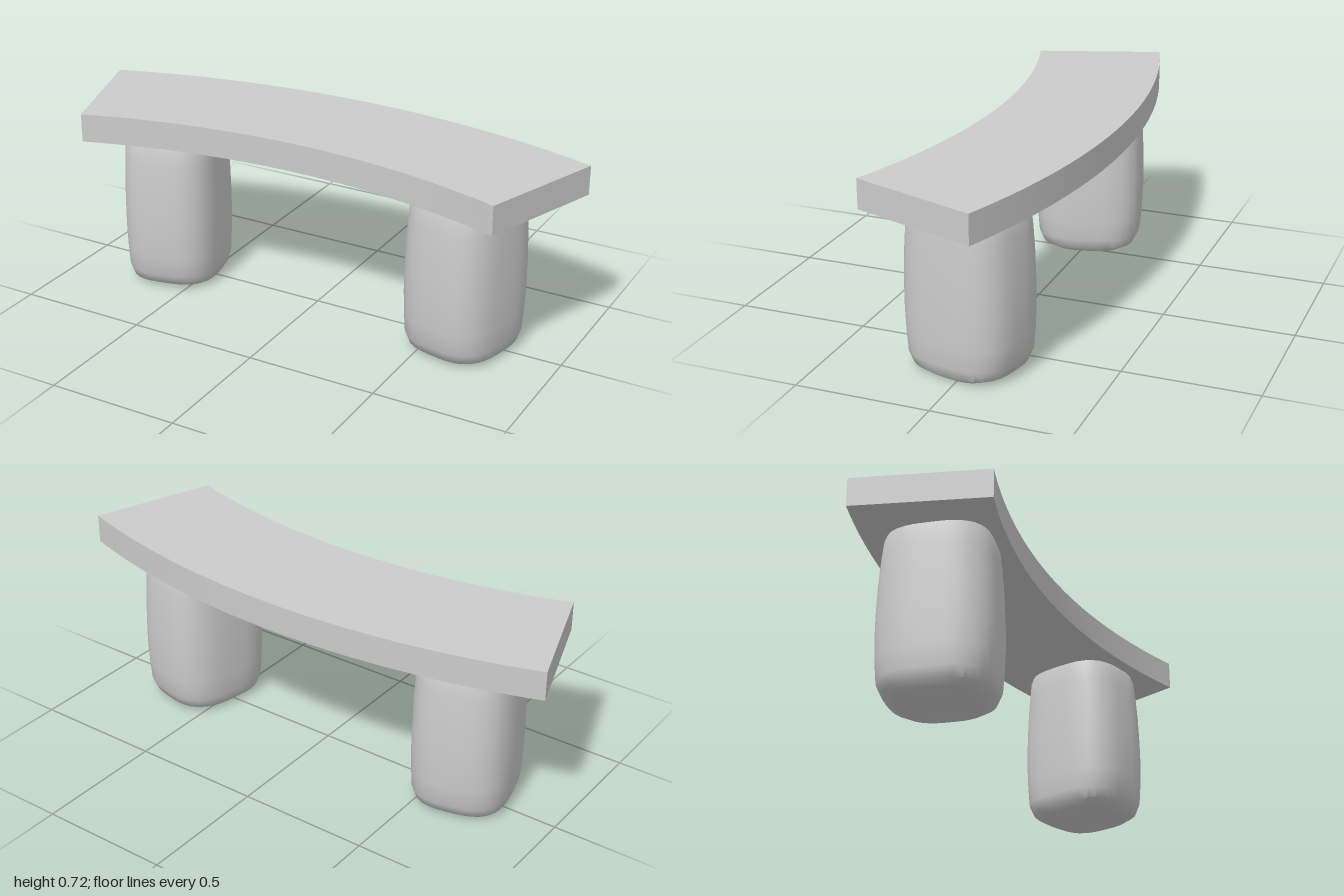
import * as THREE from 'three';
import { mergeVertices, toCreasedNormals } from 'three/addons/utils/BufferGeometryUtils.js';

const ARC_Z = 2.79;             // centre of the bench's curve
const OUTER = 3.11, INNER = 2.61;
const HALF_ANGLE = Math.asin(1 / OUTER);
const SEAT_Y = 0.61, SEAT_H = 0.11;

// Curved slab: a ring sector extruded upwards
function seatGeometry() {
  const shape = new THREE.Shape();
  const a0 = Math.PI / 2 - HALF_ANGLE, a1 = Math.PI / 2 + HALF_ANGLE;
  shape.absarc(0, -ARC_Z, OUTER, a0, a1, false);
  shape.absarc(0, -ARC_Z, INNER, a1, a0, true);
  const geo = new THREE.ExtrudeGeometry(shape, { depth: SEAT_H, bevelEnabled: false, curveSegments: 16 });
  geo.rotateX(-Math.PI / 2);
  return toCreasedNormals(geo, 0.5);
}

// Barrel-like block with a rounded-square section, tapering to the top
function legGeometry() {
  const A = 0.187, B = 0.216, POWER = 3;
  const profile = [
    [0, 0], [0.68, 0], [0.87, 0.02], [0.955, 0.06], [0.985, 0.14], [1, 0.23],
    [0.995, 0.32], [0.976, 0.43], [0.945, 0.52], [0.912, 0.585], [0.87, SEAT_Y], [0, SEAT_Y],
  ].map(([r, y]) => new THREE.Vector2(r, y));
  let geo = new THREE.LatheGeometry(profile, 40);
  const pos = geo.attributes.position;
  for (let i = 0; i < pos.count; i++) {
    const x = pos.getX(i), z = pos.getZ(i), r = Math.hypot(x, z);
    if (r < 1e-6) continue;
    const c = x / r, s = z / r;
    const k = 1 / Math.pow(Math.abs(c) ** POWER + Math.abs(s) ** POWER, 1 / POWER);
    // the sides taper less than the front and back
    pos.setX(i, A * Math.pow(r, 0.6) * k * c);
    pos.setZ(i, B * r * k * s);
  }
  geo.deleteAttribute('uv');
  geo.deleteAttribute('normal');
  geo = mergeVertices(geo, 1e-5);
  return toCreasedNormals(geo, 0.75);
}

export function createModel() {
  const group = new THREE.Group();
  group.name = 'curvedBench';
  const material = new THREE.MeshStandardMaterial({ color: 0xcccccc });

  const seat = new THREE.Mesh(seatGeometry(), material);
  seat.name = 'seat';
  seat.position.y = SEAT_Y;
  group.add(seat);

  // Legs turned to follow the curve
  const legGeo = legGeometry();
  for (const side of [1, -1]) {
    const leg = new THREE.Mesh(legGeo, material);
    leg.name = side > 0 ? 'leftLeg' : 'rightLeg';
    leg.position.set(side * 0.62, 0, 0.012);
    leg.rotation.y = -side * Math.asin(0.62 / 2.86);
    group.add(leg);
  }
  return group;
}
